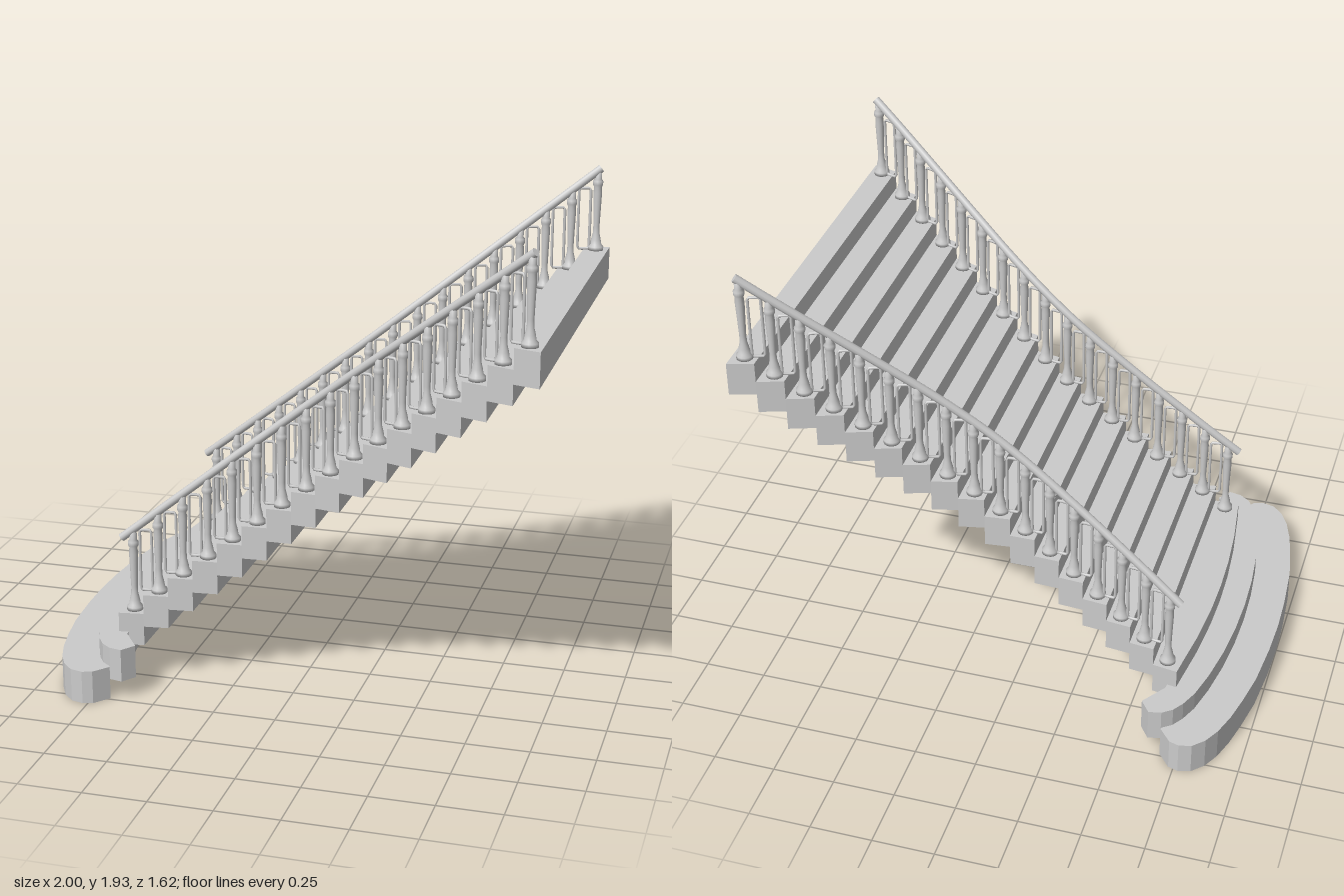
import * as THREE from 'three';

const material = new THREE.MeshStandardMaterial({ color: 0xcccccc, side: THREE.DoubleSide });
const RISE = 0.08, THICK = 0.135, STEPS = 19;

// half width of the flight every 0.1 units from x = -0.7 to x = 1
const HALF = [0.575, 0.56, 0.548, 0.537, 0.527, 0.52, 0.515, 0.515, 0.525,
  0.545, 0.57, 0.603, 0.637, 0.672, 0.707, 0.742, 0.775, 0.805];
function halfWidth(x) {
  const f = THREE.MathUtils.clamp((x + 0.7) * 10, 0, 17);
  const i = Math.min(Math.floor(f), 16);
  return THREE.MathUtils.lerp(HALF[i], HALF[i + 1], f - i);
}
const railZ = x => halfWidth(x) - 0.047;
const railY = x => 0.595 + 0.796 * (x + 0.7);
const stepTop = i => i * RISE + THICK;

function add(parent, geometry, name) {
  const mesh = new THREE.Mesh(geometry, material);
  mesh.name = name;
  parent.add(mesh);
  return mesh;
}

// slab from half an outline [x, z], mirrored across z = 0
function slab(parent, half, i, name) {
  const mirrored = half.filter(p => p[1] > 0).reverse().map(([x, z]) => [x, -z]);
  const shape = new THREE.Shape([...half, ...mirrored].map(p => new THREE.Vector2(...p)));
  const geometry = new THREE.ExtrudeGeometry(shape, { depth: THICK, bevelEnabled: false });
  geometry.rotateX(-Math.PI / 2);
  add(parent, geometry, name).position.y = i * RISE;
}

// baluster turned on a round foot
function balusterGeometry(height) {
  const profile = [[0, 0], [0.032, 0], [0.032, 0.015], [0.023, 0.025], [0.02, 0.045],
    [0.014, 0.07], [0.013, 0.1], [0.018, 0.24], [0.016, 0.265], [0.021, 0.275],
    [0.021, 0.29], [0.015, 0.298], [0.015, height], [0, height]];
  return new THREE.LatheGeometry(profile.map(p => new THREE.Vector2(...p)), 16);
}

// thin closed frame with rounded corners, standing between two balusters
function frameGeometry(x, low, high, side) {
  const w = 0.023, r = 0.01;
  const points = [[-w, low + r], [-w, high - r], [-w + r, high], [w - r, high],
    [w, high - r], [w, low + r], [w - r, low], [-w + r, low]]
    .map(([dx, y]) => new THREE.Vector3(x + dx, y, side * railZ(x + dx)));
  const curve = new THREE.CatmullRomCurve3(points, true, 'catmullrom', 0.15);
  return new THREE.TubeGeometry(curve, 48, 0.006, 6, true);
}

export function createModel() {
  const model = new THREE.Group();
  model.name = 'staircase';
  const steps = new THREE.Group();
  steps.name = 'steps';
  model.add(steps);

  // two curved, wrapping bottom steps
  slab(steps, [[-1, 0], [-0.995, 0.16], [-0.98, 0.35], [-0.955, 0.49], [-0.93, 0.6], [-0.9, 0.69],
    [-0.865, 0.755], [-0.82, 0.8], [-0.77, 0.812], [-0.73, 0.8], [-0.68, 0.74],
    [-0.74, 0.62], [-0.79, 0.35], [-0.81, 0]], 0, 'bottomStep');
  slab(steps, [[-0.855, 0], [-0.85, 0.16], [-0.835, 0.32], [-0.81, 0.47], [-0.78, 0.59], [-0.75, 0.66],
    [-0.72, 0.705], [-0.68, 0.735], [-0.63, 0.745], [-0.59, 0.69],
    [-0.66, 0.59], [-0.695, 0.33], [-0.71, 0]], 1, 'secondStep');
  // bow-fronted third step
  slab(steps, [[-0.75, 0], [-0.746, 0.16], [-0.732, 0.34], [-0.7, halfWidth(-0.7)],
    [-0.6, halfWidth(-0.6)], [-0.6, 0]], 2, 'thirdStep');

  // straight treads that follow the waisted outline
  for (let i = 3; i < STEPS; i++) {
    const a = -0.6 + 0.1 * (i - 3), b = a + 0.1;
    slab(steps, [[a, halfWidth(a)], [b, halfWidth(b)]], i, 'step');
  }

  for (const side of [1, -1]) {
    const balustrade = new THREE.Group();
    balustrade.name = side > 0 ? 'leftBalustrade' : 'rightBalustrade';
    model.add(balustrade);

    for (let i = 2; i < STEPS; i++) {
      const x = -0.65 + 0.1 * (i - 2), y = stepTop(i);
      add(balustrade, balusterGeometry(railY(x) - y), 'baluster')
        .position.set(x, y, side * railZ(x));
      if (i < STEPS - 1) {
        add(balustrade, frameGeometry(x + 0.05, y + 0.086, y + 0.34, side), 'infillFrame');
      }
    }

    // handrail with closed ends
    const points = [];
    for (let k = 0; k <= 16; k++) {
      const x = THREE.MathUtils.lerp(-0.695, 0.962, k / 16);
      points.push(new THREE.Vector3(x, railY(x), side * railZ(x)));
    }
    const curve = new THREE.CatmullRomCurve3(points);
    add(balustrade, new THREE.TubeGeometry(curve, 64, 0.017, 10), 'handrail');
    for (const t of [0, 1]) {
      const cap = add(balustrade, new THREE.CircleGeometry(0.017, 10), 'handrailEnd');
      const out = curve.getTangent(t).multiplyScalar(t ? 1 : -1);
      cap.position.copy(curve.getPoint(t));
      cap.quaternion.setFromUnitVectors(new THREE.Vector3(0, 0, 1), out);
    }
  }
  return model;
}
